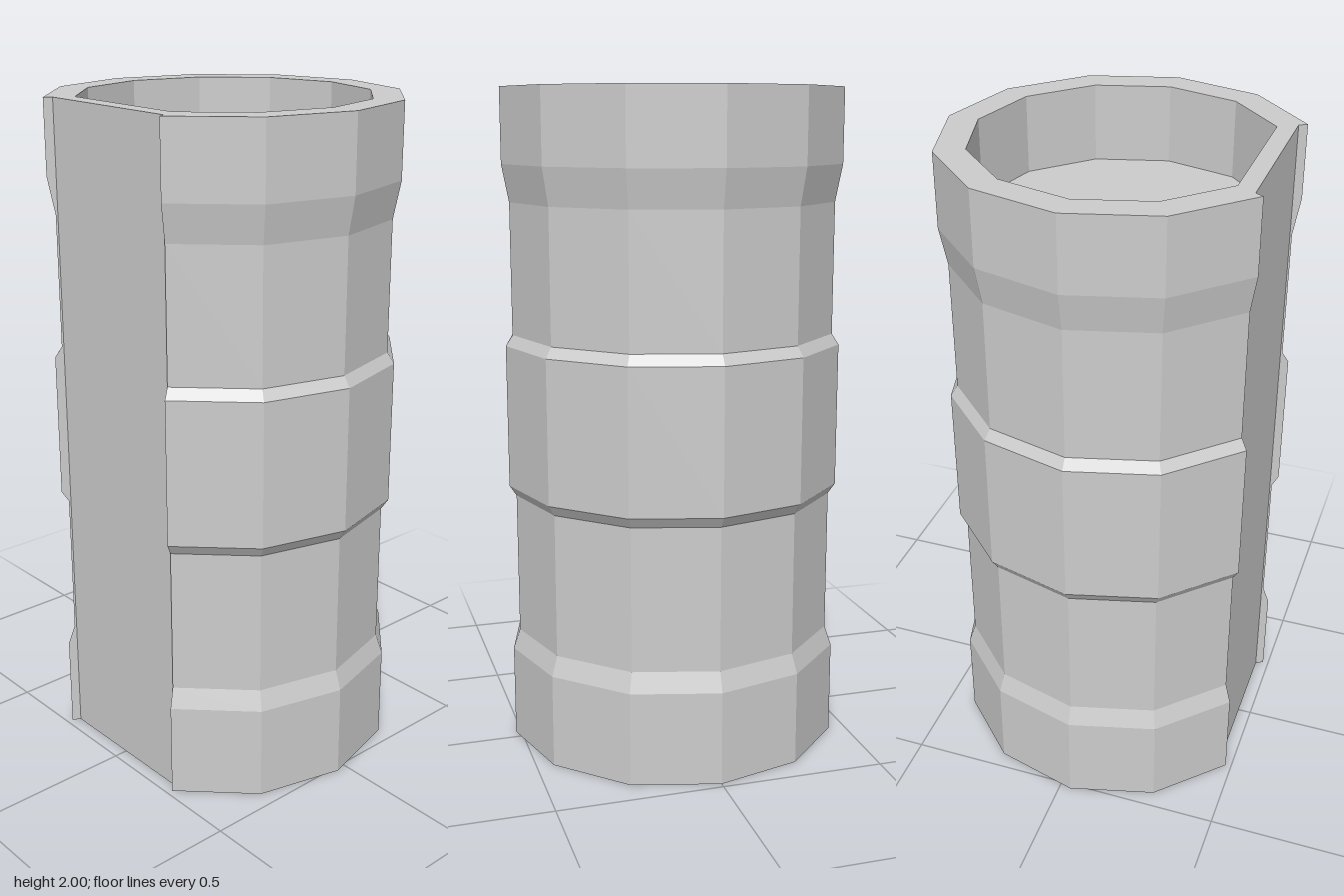
import * as THREE from 'three';

const WIDE = 0.517, NARROW = 0.496, INNER = 0.428, PANEL = 0.49;
const FLOOR = 1.77, HEIGHT = 2;
const STEP = Math.PI / 6; // twelve-sided body with the two front sides left open

// Outer wall, bottom to top: [radius, height]
const OUTER = [
  [WIDE, 0], [WIDE, 0.285], [NARROW, 0.345], [NARROW, 0.78], [WIDE, 0.812],
  [WIDE, 1.245], [NARROW, 1.277], [NARROW, 1.67], [WIDE, 1.78], [WIDE, HEIGHT],
];
const vec = (list) => list.map(([x, y]) => new THREE.Vector2(x, y));

// Point at a corner angle measured from the front: [x, z]
const corner = (r, i) => [r * Math.sin(i * STEP), r * Math.cos(i * STEP)];
const ring = (r) => Array.from({ length: 11 }, (_, k) => corner(r, k + 1));

export function createModel() {
  const group = new THREE.Group();
  const material = new THREE.MeshStandardMaterial({
    color: 0xcccccc, flatShading: true, side: THREE.DoubleSide,
  });
  const add = (name, geometry) => {
    const mesh = new THREE.Mesh(geometry, material);
    mesh.name = name;
    group.add(mesh);
    return mesh;
  };

  // Ribbed wall, rim and inside of the cup
  const profile = vec([...OUTER, [INNER, HEIGHT], [INNER, FLOOR]]);
  add('wall', new THREE.LatheGeometry(profile, 10, STEP, 10 * STEP));

  // Floor of the recess
  const floor = new THREE.ShapeGeometry(new THREE.Shape(vec(ring(INNER).map(([x, z]) => [x, -z]))));
  add('recessFloor', floor.rotateX(-Math.PI / 2)).position.y = FLOOR;

  // Underside, notched where the front panel sits back
  const base = [corner(PANEL, 1), ...ring(WIDE), corner(PANEL, 11)];
  add('base', new THREE.ShapeGeometry(new THREE.Shape(vec(base))).rotateX(Math.PI / 2));

  // Flat front panel closing the gap
  const plan = [corner(INNER, 11), corner(INNER, 1), corner(PANEL, 1), corner(PANEL, 11)];
  const panel = new THREE.ExtrudeGeometry(new THREE.Shape(vec(plan.map(([x, z]) => [x, -z]))), {
    depth: HEIGHT, bevelEnabled: false,
  });
  add('frontPanel', panel.rotateX(-Math.PI / 2));

  // Cut ends of the wall standing proud of the panel
  const endShape = new THREE.Shape(vec([[PANEL, 0], ...OUTER, [PANEL, HEIGHT]]));
  for (const [name, angle] of [['leftWallEnd', -Math.PI / 3], ['rightWallEnd', -2 * Math.PI / 3]]) {
    add(name, new THREE.ShapeGeometry(endShape)).rotation.y = angle;
  }

  // Centre the depth, since the front corner is missing
  group.children.forEach((mesh) => { mesh.position.z = 0.0346; });
  return group;
}
